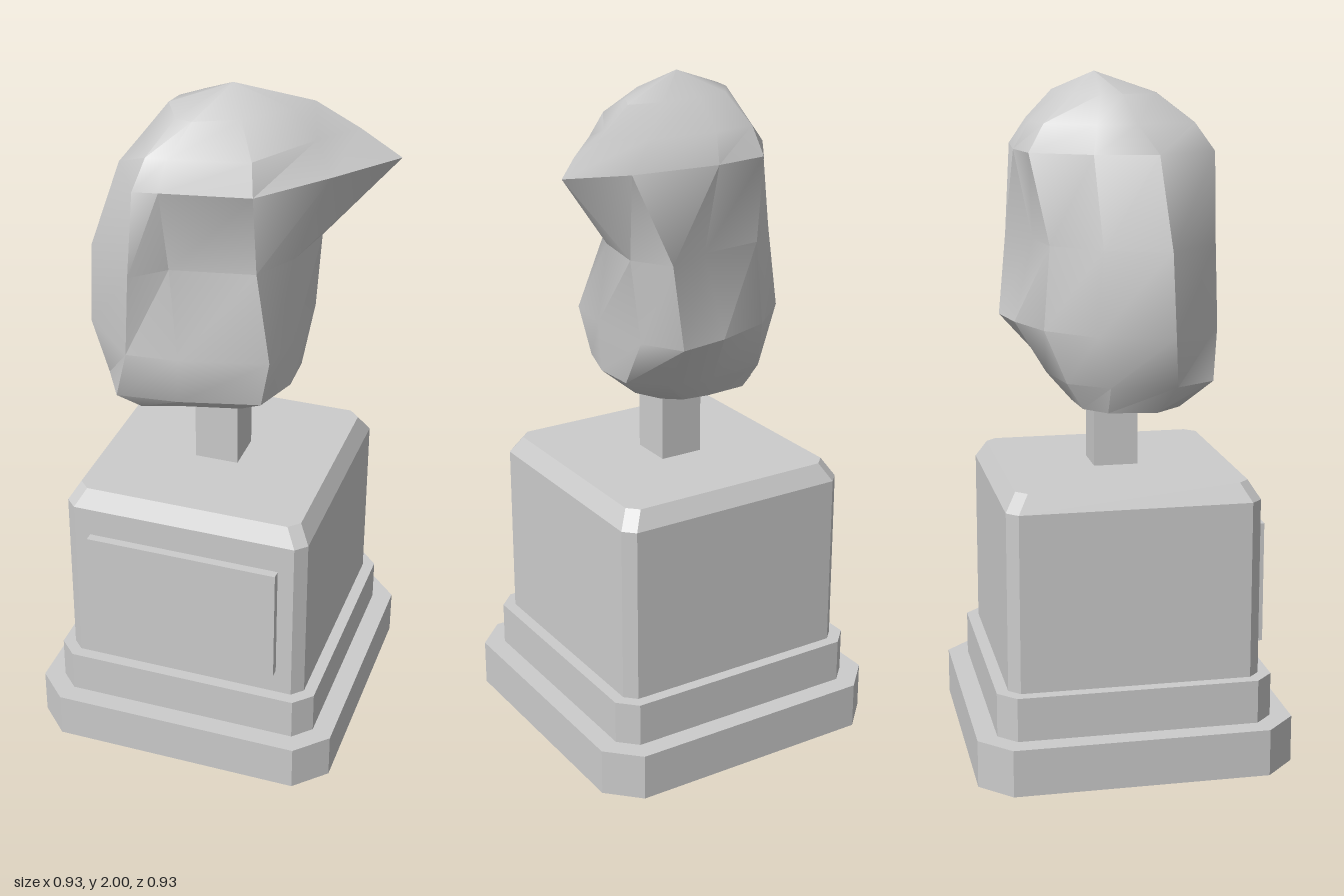
import * as THREE from 'three';
import { toCreasedNormals } from 'three/addons/utils/BufferGeometryUtils.js';

const grey = new THREE.MeshStandardMaterial({ color: 0xcccccc });

function addPart(group, name, geometry, x = 0, y = 0, z = 0) {
  const mesh = new THREE.Mesh(geometry, grey);
  mesh.name = name;
  mesh.position.set(x, y, z);
  group.add(mesh);
}

// Stack closed loops of points, bottom to top, and close both ends at a point.
function loft(loops, bottom, top) {
  const n = loops[0].length;
  const points = [...loops.flat(), bottom, top];
  const low = points.length - 2, high = points.length - 1;
  const last = (loops.length - 1) * n;
  const index = [];
  for (let j = 0; j < n; j++) {
    const k = (j + 1) % n;
    index.push(low, j, k, high, last + k, last + j);
    for (let i = 0; i < last; i += n) {
      index.push(i + j, i + n + j, i + k, i + k, i + n + j, i + n + k);
    }
  }
  const geometry = new THREE.BufferGeometry();
  geometry.setAttribute('position', new THREE.Float32BufferAttribute(points.flat(), 3));
  geometry.setIndex(index);
  return geometry;
}

// Square loop with cut corners: h is the half width, c the half length of a side.
const octagon = (y, h, c) =>
  [[h, -c], [h, c], [c, h], [-c, h], [-h, c], [-h, -c], [-c, -h], [c, -h]].map(([x, z]) => [x, y, z]);

function octagonBlock(...levels) {
  const loops = levels.map(l => octagon(...l));
  return toCreasedNormals(loft(loops, [0, levels[0][0], 0], [0, levels.at(-1)[0], 0]), 0.3);
}

// Rock outlines as [height, x, z, x, z, ...], from the right round the front, left and back.
const rockOutlines = [
  [1.05, 0.08, -0.08, 0.12, 0, 0.08, 0.08, -0.08, 0.12, -0.2, 0.16, -0.27, 0.08, -0.25, -0.06, -0.18, -0.12, -0.05, -0.13, 0.03, -0.12],
  [1.13, 0.21, -0.1, 0.215, 0.03, 0.17, 0.17, -0.06, 0.23, -0.24, 0.25, -0.31, 0.13, -0.29, -0.06, -0.2, -0.17, -0.02, -0.2, 0.12, -0.18],
  [1.28, 0.22, -0.2, 0.225, 0.03, 0.2, 0.19, -0.05, 0.255, -0.2, 0.27, -0.37, 0.11, -0.31, -0.1, -0.17, -0.23, 0, -0.29, 0.15, -0.315],
  [1.52, 0.24, -0.18, 0.21, 0, 0.14, 0.13, -0.1, 0.18, -0.19, 0.265, -0.365, 0.1, -0.29, -0.08, -0.16, -0.21, 0.03, -0.23, 0.17, -0.29],
  [1.78, 0.458, -0.2, 0.31, 0, 0.15, 0.2, -0.1, 0.25, -0.17, 0.265, -0.28, 0.08, -0.25, -0.1, -0.14, -0.265, 0.02, -0.285, 0.28, -0.26],
  [1.86, 0.34, -0.18, 0.25, -0.06, 0.13, 0.15, -0.09, 0.2, -0.15, 0.21, -0.22, 0.03, -0.2, -0.08, -0.13, -0.22, 0, -0.24, 0.2, -0.22],
  [1.94, 0.22, -0.14, 0.18, -0.06, 0.07, 0.06, -0.05, 0.12, -0.1, 0.11, -0.16, 0, -0.15, -0.06, -0.1, -0.13, 0, -0.15, 0.12, -0.16],
];

function rockGeometry() {
  const loops = rockOutlines.map(([y, ...xz]) => {
    const loop = [];
    for (let i = 0; i < xz.length; i += 2) loop.push([xz[i], y, xz[i + 1]]);
    return loop;
  });
  return toCreasedNormals(loft(loops, [-0.1, 1.035, 0], [0.01, 2, -0.05]), 0.7);
}

export function createModel() {
  const group = new THREE.Group();
  group.name = 'rockTrophy';

  // Stepped pedestal
  addPart(group, 'lowerStep', octagonBlock([0, 0.465, 0.375], [0.14, 0.465, 0.375]));
  addPart(group, 'upperStep', octagonBlock([0.14, 0.405, 0.353], [0.27, 0.405, 0.353]));
  addPart(group, 'pedestalBlock', octagonBlock([0.27, 0.37, 0.338], [0.797, 0.37, 0.338], [0.85, 0.338, 0.307]));
  addPart(group, 'plaque', new THREE.BoxGeometry(0.58, 0.36, 0.04), 0, 0.53, 0.376);

  // Rock on its post
  addPart(group, 'post', new THREE.BoxGeometry(0.132, 0.32, 0.132), 0, 1.0, 0);
  addPart(group, 'rock', rockGeometry());
  return group;
}
